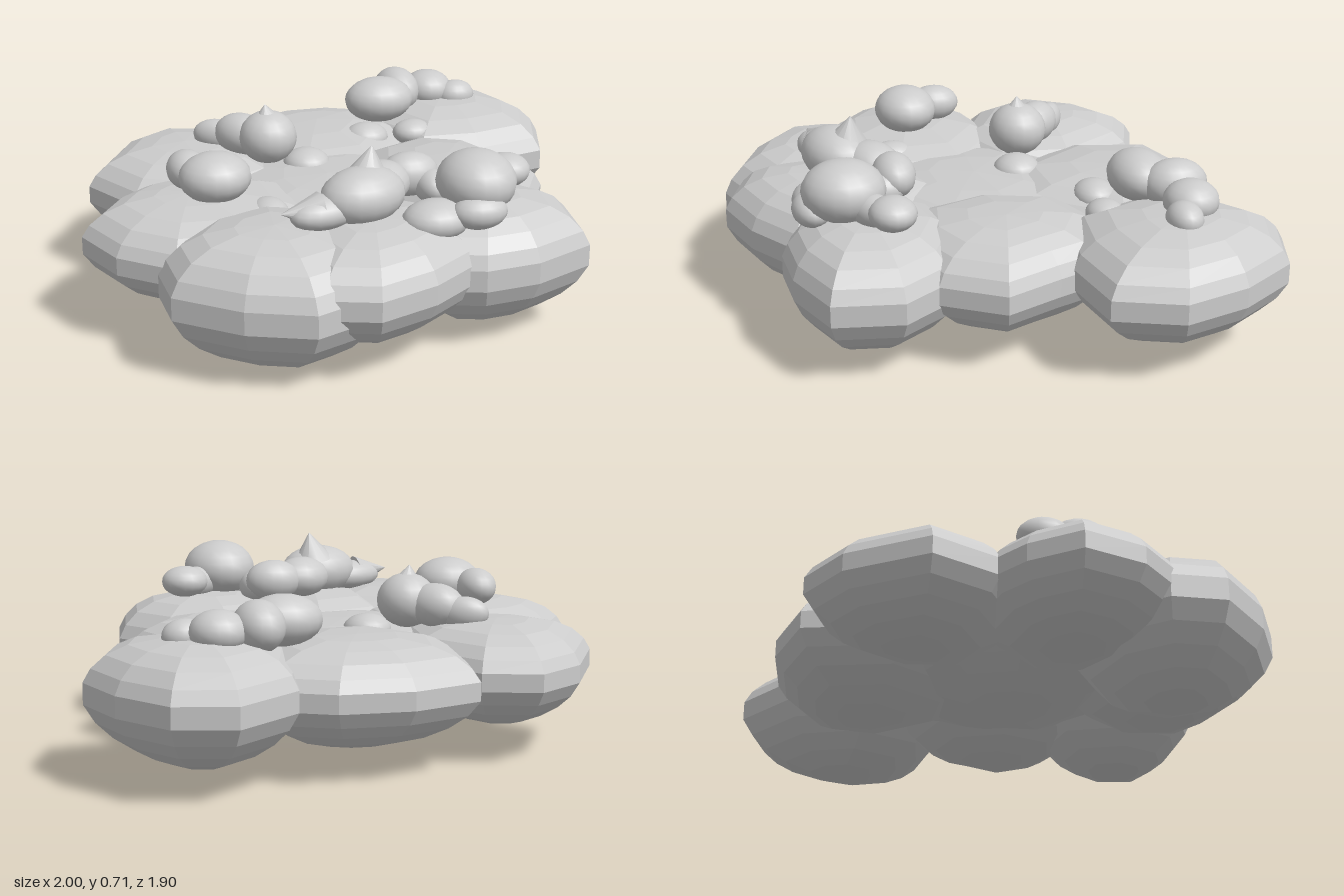
import * as THREE from 'three';

const stone = new THREE.MeshStandardMaterial({ color: 0xcccccc, flatShading: true });
stone.name = 'pale grey faceted';
const smooth = new THREE.MeshStandardMaterial({ color: 0xcccccc });
smooth.name = 'pale grey smooth';

// Cross-section of a big lobe: [outline scale, height from -1 (bottom) to 1 (top)]
const PROFILE = [[0, -1], [0.3, -0.94], [0.55, -0.79], [0.75, -0.58], [0.9, -0.34], [1, -0.06],
  [1, 0.28], [0.93, 0.5], [0.8, 0.71], [0.61, 0.87], [0.34, 0.97], [0, 1]];

// Flattened lobe: a plan outline (x, z pairs, clockwise from above) swept through the profile
function lobe(name, bottom, top, outline) {
  const n = outline.length;
  const cx = outline.reduce((s, p) => s + p[0], 0) / n;
  const cz = outline.reduce((s, p) => s + p[1], 0) / n;
  const mid = (top + bottom) / 2, half = (top - bottom) / 2;
  const pos = [], index = [];
  for (const [s, h] of PROFILE) {
    for (const [x, z] of outline) pos.push(cx + (x - cx) * s, mid + half * h, cz + (z - cz) * s);
  }
  for (let r = 0; r < PROFILE.length - 1; r++) {
    for (let i = 0; i < n; i++) {
      const a = r * n + i, b = r * n + (i + 1) % n;
      if (r > 0) index.push(a, a + n, b);
      if (r < PROFILE.length - 2) index.push(b, a + n, b + n);
    }
  }
  const g = new THREE.BufferGeometry();
  g.setAttribute('position', new THREE.Float32BufferAttribute(pos, 3));
  g.setIndex(index);
  g.computeVertexNormals();
  const m = new THREE.Mesh(g, stone);
  m.name = name;
  return m;
}

const ball = new THREE.SphereGeometry(1, 18, 12);

// Cluster of small puffs: [x, y, z, rx, ry, rz, turn]
function puffs(name, list) {
  const group = new THREE.Group();
  group.name = name;
  list.forEach(([x, y, z, rx, ry, rz, turn = 0], i) => {
    const m = new THREE.Mesh(ball, smooth);
    m.name = `${name}Puff${i + 1}`;
    m.position.set(x, y, z);
    m.scale.set(rx, ry, rz);
    m.rotation.y = turn;
    group.add(m);
  });
  return group;
}

// Small pointed wisp between two points
function wisp(name, from, to, radius) {
  const a = new THREE.Vector3(...from), d = new THREE.Vector3(...to).sub(a);
  const g = new THREE.ConeGeometry(radius, d.length(), 12);
  g.translate(0, d.length() / 2, 0);
  const m = new THREE.Mesh(g, smooth);
  m.name = name;
  m.position.copy(a);
  m.quaternion.setFromUnitVectors(new THREE.Vector3(0, 1, 0), d.normalize());
  return m;
}

export function createModel() {
  const model = new THREE.Group();
  model.name = 'cloud';

  // Big flattened lobes
  model.add(
    lobe('backLeftLobe', 0.06, 0.5, [[0.34, -0.77], [0.42, -0.83], [0.58, -0.95], [0.79, -0.89], [0.93, -0.68],
      [1, -0.44], [0.91, -0.2], [0.64, -0.15], [0.38, -0.18], [0.25, -0.48]]),
    lobe('backLobe', 0.08, 0.47, [[-0.3, -0.76], [-0.04, -0.84], [0.22, -0.82], [0.44, -0.7], [0.48, -0.4],
      [0.2, -0.04], [-0.14, -0.02], [-0.38, -0.4]]),
    lobe('backRightLobe', 0.1, 0.48, [[-0.89, -0.36], [-0.72, -0.64], [-0.53, -0.76], [-0.33, -0.69],
      [-0.16, -0.4], [-0.2, -0.08], [-0.48, 0.04], [-0.77, -0.12]]),
    lobe('rightLobe', 0.1, 0.48, [[-1, 0.12], [-0.88, -0.05], [-0.76, -0.14], [-0.45, -0.22], [-0.16, 0],
      [-0.16, 0.3], [-0.42, 0.54], [-0.75, 0.5], [-0.92, 0.34]]),
    lobe('frontRightLobe', 0, 0.49, [[-0.65, 0.26], [-0.35, 0.16], [-0.06, 0.33], [0, 0.6], [-0.15, 0.85],
      [-0.38, 0.93], [-0.6, 0.83], [-0.8, 0.65], [-0.8, 0.45]]),
    lobe('frontLobe', 0.07, 0.49, [[-0.42, 0.6], [-0.3, 0.22], [0, 0.12], [0.29, 0.4], [0.25, 0.75],
      [0.05, 0.88], [-0.17, 0.95], [-0.35, 0.88]]),
    lobe('frontLeftLobe', 0.03, 0.49, [[0, 0.5], [0.1, 0.2], [0.35, 0.14], [0.6, 0.26], [0.73, 0.45],
      [0.69, 0.7], [0.46, 0.79], [0.26, 0.8], [0.1, 0.74]]),
    lobe('leftLobe', 0.07, 0.47, [[0.02, 0.05], [0.13, -0.28], [0.4, -0.38], [0.62, -0.26], [0.68, -0.1],
      [0.77, 0.11], [0.64, 0.32], [0.4, 0.42], [0.13, 0.37]]),
    lobe('centreLobe', 0.1, 0.44, [[-0.55, 0], [-0.45, -0.32], [-0.1, -0.5], [0.28, -0.45], [0.5, -0.1],
      [0.4, 0.28], [0.1, 0.48], [-0.25, 0.5], [-0.5, 0.32]]),
  );

  // Small puffs resting on top
  model.add(
    puffs('backLeftCluster', [[0.32, 0.53, -0.49, 0.14, 0.09, 0.11], [0.43, 0.53, -0.59, 0.09, 0.09, 0.12],
      [0.57, 0.52, -0.6, 0.1, 0.075, 0.1], [0.67, 0.5, -0.54, 0.08, 0.06, 0.065],
      [0.22, 0.42, -0.36, 0.09, 0.06, 0.08], [0.41, 0.43, -0.34, 0.08, 0.05, 0.07]]),
    puffs('backRightCluster', [[-0.23, 0.53, -0.19, 0.11, 0.1, 0.11], [-0.31, 0.52, -0.28, 0.11, 0.08, 0.08, -0.8],
      [-0.39, 0.5, -0.36, 0.09, 0.06, 0.05, -0.5], [-0.09, 0.42, -0.15, 0.09, 0.06, 0.09]]),
    puffs('rightCluster', [[-0.53, 0.54, 0.19, 0.13, 0.09, 0.12], [-0.6, 0.53, 0.06, 0.075, 0.07, 0.1],
      [-0.36, 0.42, 0.28, 0.07, 0.05, 0.09]]),
    puffs('frontCluster', [[-0.1, 0.55, 0.54, 0.16, 0.1, 0.12, 0.3], [-0.24, 0.52, 0.57, 0.14, 0.06, 0.08, 0.3],
      [0.0, 0.54, 0.43, 0.12, 0.08, 0.1, 0.6], [0.13, 0.54, 0.37, 0.11, 0.08, 0.08],
      [0.19, 0.51, 0.43, 0.06, 0.06, 0.09]]),
    puffs('frontLeftCluster', [[0.3, 0.57, 0.58, 0.14, 0.11, 0.15], [0.47, 0.54, 0.44, 0.09, 0.06, 0.085],
      [0.4, 0.53, 0.5, 0.1, 0.06, 0.06, 0.7], [0.13, 0.47, 0.64, 0.12, 0.07, 0.1],
      [0.27, 0.5, 0.69, 0.1, 0.06, 0.07]]),
    wisp('frontWisp', [-0.07, 0.6, 0.5], [-0.05, 0.71, 0.49], 0.08),
    wisp('sideWisp', [-0.27, 0.53, 0.58], [-0.41, 0.54, 0.6], 0.065),
    wisp('backWisp', [-0.23, 0.58, -0.19], [-0.24, 0.66, -0.19], 0.07),
  );
  return model;
}
